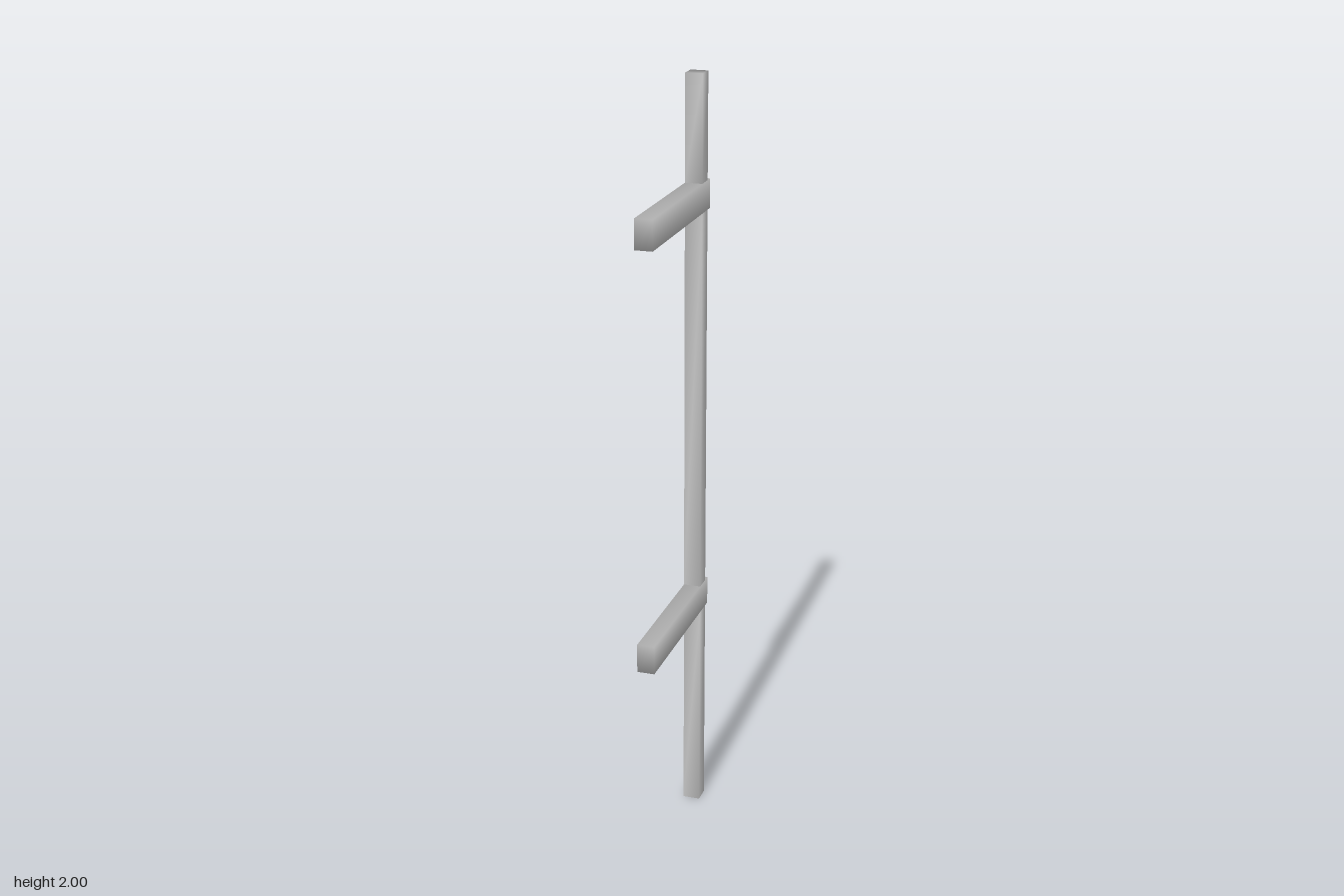
import * as THREE from 'three';
import { mergeVertices } from 'three/addons/utils/BufferGeometryUtils.js';

const WIDTH = 0.045;              // shared thickness of post and arms
const POST_Z = -0.1825;           // post sits near the back
const ARM_LENGTH = 0.45;
const ARMS = [[0.57, 0.645], [1.655, 1.73]]; // bottom and top of each arm
const HEIGHT = 2;

// Box with shared corners, so its shading runs smoothly around the edges
function smoothBox(w, h, d) {
  const box = new THREE.BoxGeometry(w, h, d);
  box.deleteAttribute('normal');
  box.deleteAttribute('uv');
  const welded = mergeVertices(box);
  welded.computeVertexNormals();
  return welded;
}

export function createModel() {
  const model = new THREE.Group();
  model.name = 'postWithArms';
  const material = new THREE.MeshStandardMaterial({ color: 0xcccccc });

  function addBar(parent, name, bottom, top, depth, z) {
    const mesh = new THREE.Mesh(smoothBox(WIDTH, top - bottom, depth), material);
    mesh.name = name;
    mesh.position.set(0, (bottom + top) / 2, z);
    parent.add(mesh);
  }

  // Upright post, split where the arms pass through so no faces overlap
  const post = new THREE.Group();
  post.name = 'post';
  model.add(post);
  const cuts = [0, ...ARMS.flat(), HEIGHT];
  ['lowerPost', 'middlePost', 'upperPost'].forEach((name, i) => {
    addBar(post, name, cuts[2 * i], cuts[2 * i + 1], WIDTH, POST_Z);
  });

  // Horizontal arms reaching forward, with a short stub behind the post
  ['lowerArm', 'upperArm'].forEach((name, i) => {
    addBar(model, name, ARMS[i][0], ARMS[i][1], ARM_LENGTH, 0);
  });

  return model;
}
